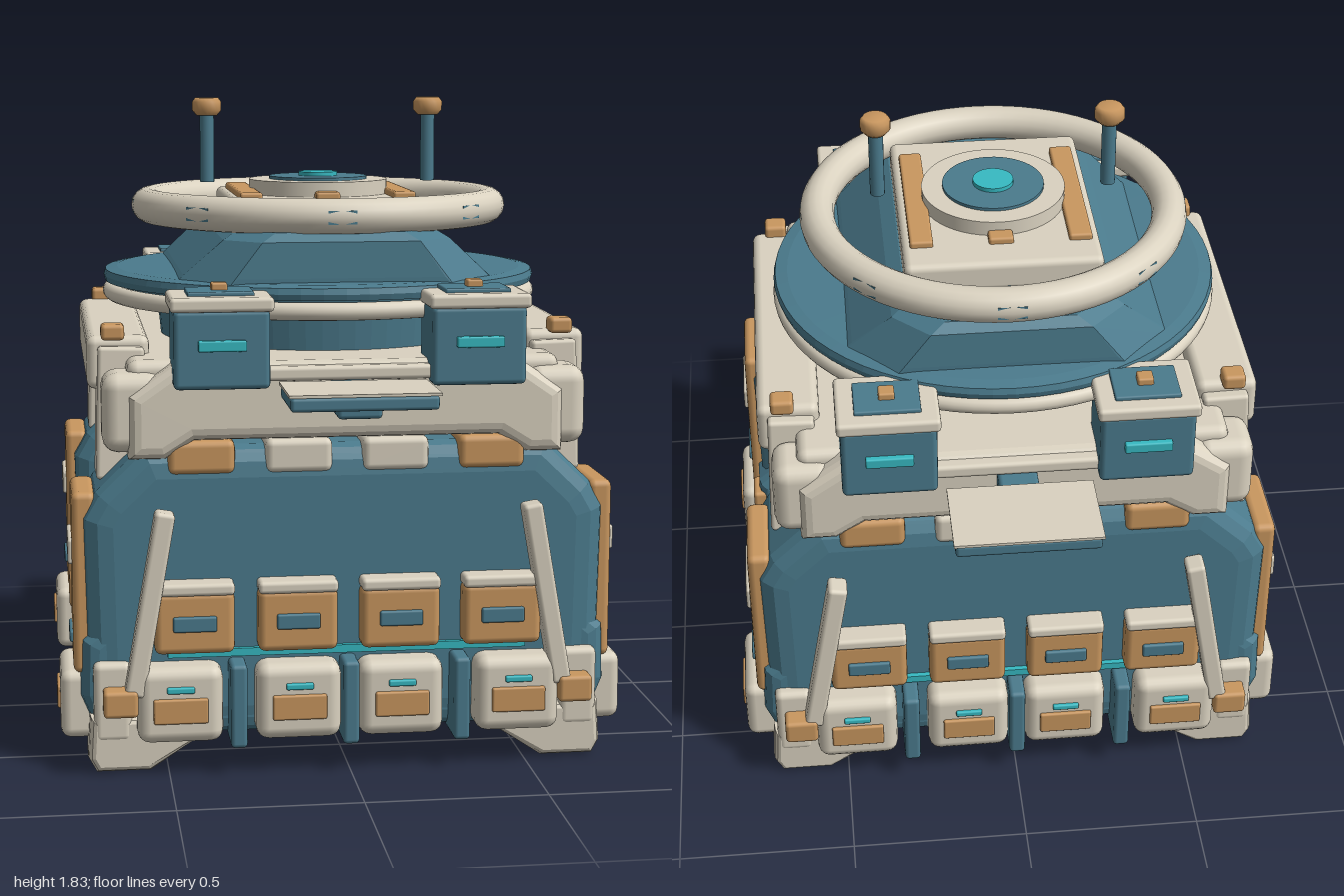
import * as THREE from 'three';
import { RoundedBoxGeometry } from 'three/addons/geometries/RoundedBoxGeometry.js';
import { ConvexGeometry } from 'three/addons/geometries/ConvexGeometry.js';

const colour = (name, color) => {
  const m = new THREE.MeshStandardMaterial({ color });
  m.name = name;
  return m;
};

export function createModel() {
  const blue = colour('slate blue', 0x4b7b8d);
  const cream = colour('warm cream', 0xdad2c0);
  const tan = colour('tan', 0xc9975f);
  const cyan = colour('cyan', 0x37bac3);
  const model = new THREE.Group();
  model.name = 'walkerPlatform';

  const add = (parent, name, geo, mat) => {
    const m = new THREE.Mesh(geo, mat);
    m.name = name;
    parent.add(m);
    return m;
  };
  // Box from its extents, softly rounded when r > 0
  const box = (parent, name, mat, x0, x1, y0, y1, z0, z1, r = 0.012) => {
    const w = Math.abs(x1 - x0), h = y1 - y0, d = z1 - z0;
    const geo = r ? new RoundedBoxGeometry(w, h, d, 2, Math.min(r, w / 2.1, h / 2.1, d / 2.1))
      : new THREE.BoxGeometry(w, h, d);
    const m = add(parent, name, geo, mat);
    m.position.set((x0 + x1) / 2, (y0 + y1) / 2, (z0 + z1) / 2);
    return m;
  };
  // Outline in xy, extruded from z0 to z1 with a bevel kept inside the outline
  const prism = (parent, name, mat, pts, z0, z1, b, size = b) => {
    const shape = new THREE.Shape(pts.map(p => new THREE.Vector2(...p)));
    const geo = new THREE.ExtrudeGeometry(shape, {
      depth: z1 - z0 - 2 * b, bevelThickness: b, bevelSize: size, bevelOffset: -size, bevelSegments: 3, steps: 1,
    });
    geo.translate(0, 0, z0 + b);
    return add(parent, name, geo, mat);
  };
  // Rounded bar joining two points
  const bar = (parent, name, mat, p, q, w, d) => {
    const a = new THREE.Vector3(...p), v = new THREE.Vector3(...q).sub(a);
    const m = add(parent, name, new RoundedBoxGeometry(w, v.length(), d, 2, 0.012), mat);
    m.position.copy(a).addScaledVector(v, 0.5);
    m.quaternion.setFromUnitVectors(new THREE.Vector3(0, 1, 0), v.normalize());
    return m;
  };
  const disc = (parent, name, mat, r, y0, y1, x = 0, n = 48) => {
    const m = add(parent, name, new THREE.CylinderGeometry(r, r, y1 - y0, n), mat);
    m.position.set(x, (y0 + y1) / 2, 0);
    return m;
  };
  const mirrored = pts => [...pts, ...pts.map(([x, y]) => [-x, y]).reverse()];

  // Two identical ends, each a leg pod with its gear, turned front and back
  for (const turn of [0, Math.PI]) {
    const end = new THREE.Group();
    end.name = turn ? 'backEnd' : 'frontEnd';
    end.rotation.y = turn;
    model.add(end);

    prism(end, 'legPod', blue, mirrored([[0.62, 0.1], [0.72, 0.2], [0.73, 0.72], [0.69, 0.79], [0.56, 0.915]]), 0.275, 0.66, 0.055, 0.085);
    prism(end, 'podKeel', blue, mirrored([[0.62, 0.1], [0.715, 0.16], [0.74, 0.22], [0.735, 0.38], [0.65, 0.45]]), 0.225, 0.655, 0.05);

    // Cross beam under the deck
    prism(end, 'crossBeam', cream, mirrored([[0.42, 0.935], [0.5, 0.885], [0.6, 0.885], [0.6, 1.06], [0.47, 1.15]]), 0.49, 0.68, 0.035);
    box(end, 'beamTrim', cream, -0.23, 0.23, 1.1, 1.14, 0.66, 0.705);

    // Step plate with bracket
    box(end, 'stepBase', blue, -0.195, 0.195, 1.062, 1.1, 0.755, 0.995, 0.01);
    box(end, 'stepTread', cream, -0.2, 0.2, 1.1, 1.108, 0.755, 1, 0);
    box(end, 'stepGusset', blue, -0.06, 0.06, 1.025, 1.07, 0.69, 0.9);
    box(end, 'stepBracket', blue, -0.055, 0.055, 1.04, 1.1, 0.66, 0.77);

    // Pouch rows with lids, labels, straps
    box(end, 'cyanStrip', cyan, -0.5, 0.5, 0.332, 0.354, 0.64, 0.675, 0);
    for (const i of [-1.5, -0.5, 0.5, 1.5]) {
      const x = i * 0.285, u = i * (Math.abs(i) > 1 ? 0.313 : 0.285);
      box(end, 'upperPouch', tan, x - 0.11, x + 0.11, 0.35, 0.525, 0.63, 0.715, 0.02);
      box(end, 'pouchLid', cream, x - 0.11, x + 0.11, 0.515, 0.55, 0.63, 0.725);
      box(end, 'pouchLabel', blue, x - 0.06, x + 0.06, 0.415, 0.458, 0.705, 0.725, 0.006);
      box(end, 'lowerPouch', cream, u - 0.118, u + 0.118, 0.105, 0.32, 0.6, 0.74, 0.035);
      box(end, 'lowerPouchPlate', tan, u - 0.075, u + 0.075, 0.165, 0.235, 0.73, 0.75, 0.006);
      box(end, 'lowerPouchLight', cyan, u - 0.038, u + 0.038, 0.25, 0.268, 0.73, 0.75, 0.005);
      // Tabs wrapped over the top of the pod
      box(end, 'topTab', Math.abs(i) > 1 ? tan : cream, i * 0.268 - 0.092, i * 0.268 + 0.092, 0.84, 0.935, 0.27, 0.667, 0.02);
    }
    for (const x of [-0.31, 0, 0.31]) box(end, 'strap', blue, x - 0.023, x + 0.023, 0.09, 0.325, 0.6, 0.75);

    for (const s of [-1, 1]) {
      // Foot under the lower corner, with a short post in front of the pod
      const foot = [[0.4, 0.11], [0.55, 0.01], [0.7, 0.01], [0.722, 0.05], [0.715, 0.17], [0.58, 0.17]];
      const pts = foot.map(([x, y]) => [s * x, y]);
      prism(end, 'foot', cream, s > 0 ? pts : pts.reverse(), 0.49, 0.685, 0.045, 0.02);
      box(end, 'footPost', cream, s * 0.6, s * 0.705, 0.1, 0.325, 0.59, 0.688, 0.02);

      // Slanted guard bar and clamps
      bar(end, 'guardBar', cream, [s * 0.595, 0.24, 0.703], [s * 0.505, 0.75, 0.703], 0.055, 0.07);
      box(end, 'guardClamp', tan, s * 0.585, s * 0.68, 0.185, 0.26, 0.655, 0.745);
      box(end, 'innerClamp', tan, s * 0.66, s * 0.755, 0.25, 0.35, 0.235, 0.335);

      // Side armour panel and side pouch
      box(end, 'sidePanel', tan, s * 0.69, s * 0.757, 0.28, 0.79, 0.36, 0.62, 0.02);
      box(end, 'sidePanelBand', cream, s * 0.745, s * 0.768, 0.585, 0.655, 0.385, 0.595, 0.008);
      box(end, 'sidePanelLabel', blue, s * 0.745, s * 0.766, 0.355, 0.387, 0.415, 0.56, 0.006);
      box(end, 'sidePouch', cream, s * 0.69, s * 0.795, 0.09, 0.285, 0.335, 0.61, 0.03);
      box(end, 'sidePouchPlate', tan, s * 0.785, s * 0.803, 0.16, 0.225, 0.4, 0.54, 0.006);

      // Hip column from the deck to the pod
      bar(end, 'hipColumn', cream, [s * 0.62, 0.8, 0.437], [s * 0.61, 1.17, 0.42], 0.13, 0.17);
      box(end, 'hipBlock', cream, s * 0.5, s * 0.67, 0.9, 1.12, 0.49, 0.66, 0.045);
      bar(end, 'kneeBrace', cream, [s * 0.56, 0.925, 0.2], [s * 0.56, 1.05, 0.35], 0.08, 0.065);
      bar(end, 'innerStrut', cream, [s * 0.56, 0.79, 0.12], [s * 0.56, 0.32, 0.26], 0.1, 0.075);

      // Deck box with lid
      box(end, 'deckBox', blue, s * 0.22, s * 0.48, 1.085, 1.3, 0.54, 0.74, 0.015);
      box(end, 'deckBoxLid', cream, s * 0.21, s * 0.49, 1.295, 1.335, 0.525, 0.755);
      box(end, 'lidInset', blue, s * 0.26, s * 0.44, 1.33, 1.346, 0.57, 0.71, 0.005);
      box(end, 'lidKnob', tan, s * 0.328, s * 0.372, 1.335, 1.365, 0.615, 0.66, 0.006);
      box(end, 'deckBoxLight', cyan, s * 0.285, s * 0.415, 1.19, 1.22, 0.735, 0.757, 0.005);
      box(end, 'deckCornerKnob', tan, s * 0.6, s * 0.665, 1.19, 1.235, 0.43, 0.495);
    }
  }

  // Deck and its side structure
  box(model, 'deck', cream, -0.6, 0.6, 1.04, 1.15, -0.62, 0.62, 0.03);
  for (const s of [-1, 1]) {
    box(model, 'sideBeam', cream, s * 0.53, s * 0.705, 1.05, 1.2, -0.47, 0.47, 0.025);
    box(model, 'linkBlock', cream, s * 0.49, s * 0.64, 0.77, 0.92, -0.18, 0.18, 0.02);
    box(model, 'linkBar', cream, s * 0.51, s * 0.61, 0.895, 0.965, -0.26, 0.26);
  }

  // Turret ring
  const ring = [[0, 1.13], [0.47, 1.13], [0.48, 1.235], [0.6, 1.25], [0.61, 1.305], [0.635, 1.308], [0.64, 1.325], [0.635, 1.342], [0.6, 1.348], [0, 1.36]];
  const base = new THREE.LatheGeometry(ring.map(p => new THREE.Vector2(...p)), 64).toNonIndexed();
  base.computeVertexNormals();
  add(model, 'turretBase', base, blue);
  const hoop = (name, r, tube, y) => {
    const m = add(model, name, new THREE.TorusGeometry(r, tube, 16, 72), cream);
    m.rotation.x = Math.PI / 2;
    m.position.y = y;
  };
  hoop('turretBand', 0.618, 0.025, 1.277);

  // Faceted turret body with cut corners
  const corners = [];
  for (const [hx, hz, c, y] of [[0.46, 0.54, 0.14, 1.33], [0.43, 0.54, 0.14, 1.36], [0.32, 0.535, 0.1, 1.46], [0.28, 0.51, 0.1, 1.485]])
    for (const s of [-1, 1]) for (const t of [-1, 1])
      corners.push(new THREE.Vector3(s * hx, y, t * (hz - c)), new THREE.Vector3(s * (hx - c), y, t * hz));
  add(model, 'turretBody', new ConvexGeometry(corners), blue);

  // Top hoop with small lamps sunk almost flush
  hoop('topHoop', 0.505, 0.05, 1.528);
  for (let i = 0; i < 8; i++) {
    const a = i * Math.PI / 4;
    const lamp = add(model, 'hoopLamp', new THREE.BoxGeometry(0.08, 0.038, 0.012), blue);
    lamp.position.set(Math.sin(a) * 0.545, 1.528, Math.cos(a) * 0.545);
    lamp.rotation.y = a;
  }

  // Roof plate, rails and hatch
  box(model, 'roofPlate', cream, -0.277, 0.277, 1.47, 1.56, -0.35, 0.35, 0.02);
  for (const s of [-1, 1]) {
    box(model, 'roofRail', tan, s * 0.19, s * 0.255, 1.55, 1.578, -0.25, 0.25, 0.008);
    box(model, 'hatchLug', tan, -0.035, 0.035, 1.55, 1.578, s * 0.225 - 0.025, s * 0.225 + 0.025, 0.008);
    disc(model, 'antenna', blue, 0.021, 1.595, 1.81, s * 0.33, 16);
    const knob = [[0, 1.79], [0.03, 1.79], [0.043, 1.805], [0.043, 1.83], [0.034, 1.842], [0, 1.842]];
    add(model, 'antennaKnob', new THREE.LatheGeometry(knob.map(p => new THREE.Vector2(...p)), 20), tan).position.x = s * 0.33;
  }
  disc(model, 'hatchRing', cream, 0.205, 1.55, 1.603);
  disc(model, 'hatchCap', blue, 0.145, 1.59, 1.612);
  disc(model, 'hatchLamp', cyan, 0.058, 1.6, 1.624);

  return model;
}
